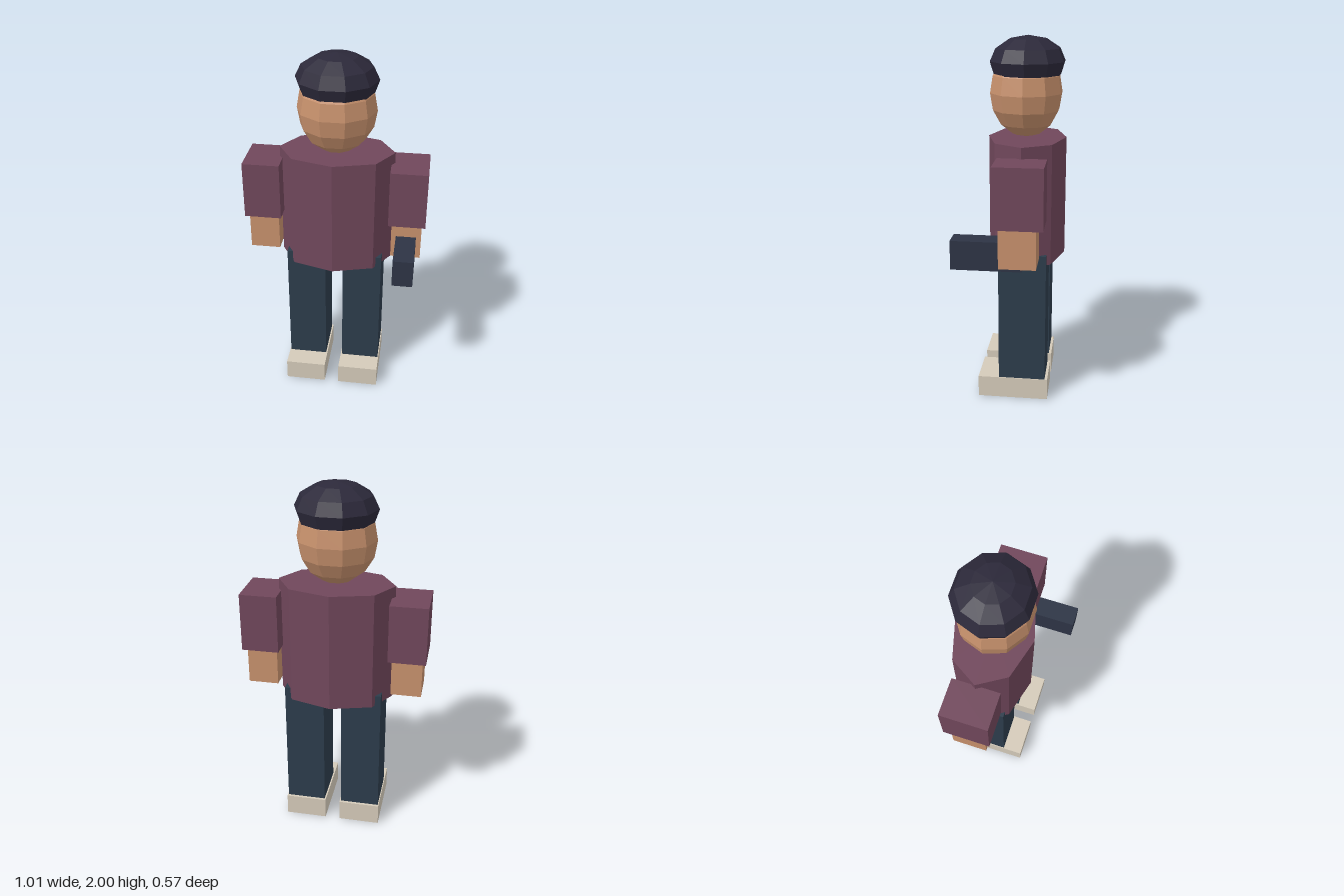
import * as THREE from 'three';

const AXIS_Z = -0.07; // shared depth centre of head, torso and arms

const material = (color) => new THREE.MeshStandardMaterial({ color, flatShading: true });
const shirt = material(0x70475b);
const skin = material(0xc6906c);
const trousers = material(0x2c3c4b);
const hairColor = material(0x2c293a);
const shoeColor = material(0xd4cab9);
const itemColor = material(0x2d3445);

export function createModel() {
  const model = new THREE.Group();
  model.name = 'blockFigure';

  const add = (name, geometry, mat) => {
    const mesh = new THREE.Mesh(geometry, mat);
    mesh.name = name;
    model.add(mesh);
    return mesh;
  };

  // Box given by its [min, max] range on each axis
  const box = (name, x, y, z, mat) => {
    const mesh = add(name, new THREE.BoxGeometry(x[1] - x[0], y[1] - y[0], z[1] - z[0]), mat);
    mesh.position.set((x[0] + x[1]) / 2, (y[0] + y[1]) / 2, (z[0] + z[1]) / 2);
    return mesh;
  };

  // Eight-sided torso, flattened front to back
  const torso = add('torso', new THREE.CylinderGeometry(1, 1, 0.66, 8), shirt);
  torso.scale.set(0.318, 1, 0.213);
  torso.position.set(0, 1.13, AXIS_Z);

  // Faceted head
  const head = add('head', new THREE.SphereGeometry(1, 10, 8), skin);
  head.scale.set(0.215, 0.24, 0.199);
  head.position.set(0, 1.7, -0.063);

  // Hair: an open cap over the top of the head
  const hairMaterial = hairColor.clone();
  hairMaterial.side = THREE.DoubleSide;
  const hair = add('hair', new THREE.SphereGeometry(1, 10, 4, 0, Math.PI * 2, 0, Math.PI * 0.65), hairMaterial);
  hair.scale.set(0.222, 0.14, 0.206);
  hair.position.set(0, 1.86, AXIS_Z);

  // Mirrored limbs
  for (const [side, s] of [['left', 1], ['right', -1]]) {
    const span = (a, b) => (s > 0 ? [a, b] : [-b, -a]);
    box(side + 'Sleeve', span(0.3, 0.505), [1.075, 1.4], [-0.202, 0.06], shirt);
    box(side + 'Forearm', span(0.318, 0.485), [0.862, 1.08], [-0.165, 0.03], skin);
    box(side + 'Leg', span(0.05, 0.27), [0.12, 0.86], [-0.2, 0.06], trousers);
    box(side + 'Shoe', span(0.042, 0.275), [0, 0.122], [-0.215, 0.176], shoeColor);
  }

  // Block held in the left hand
  box('heldBlock', [0.345, 0.457], [0.838, 0.995], [-0.09, 0.284], itemColor);

  return model;
}
